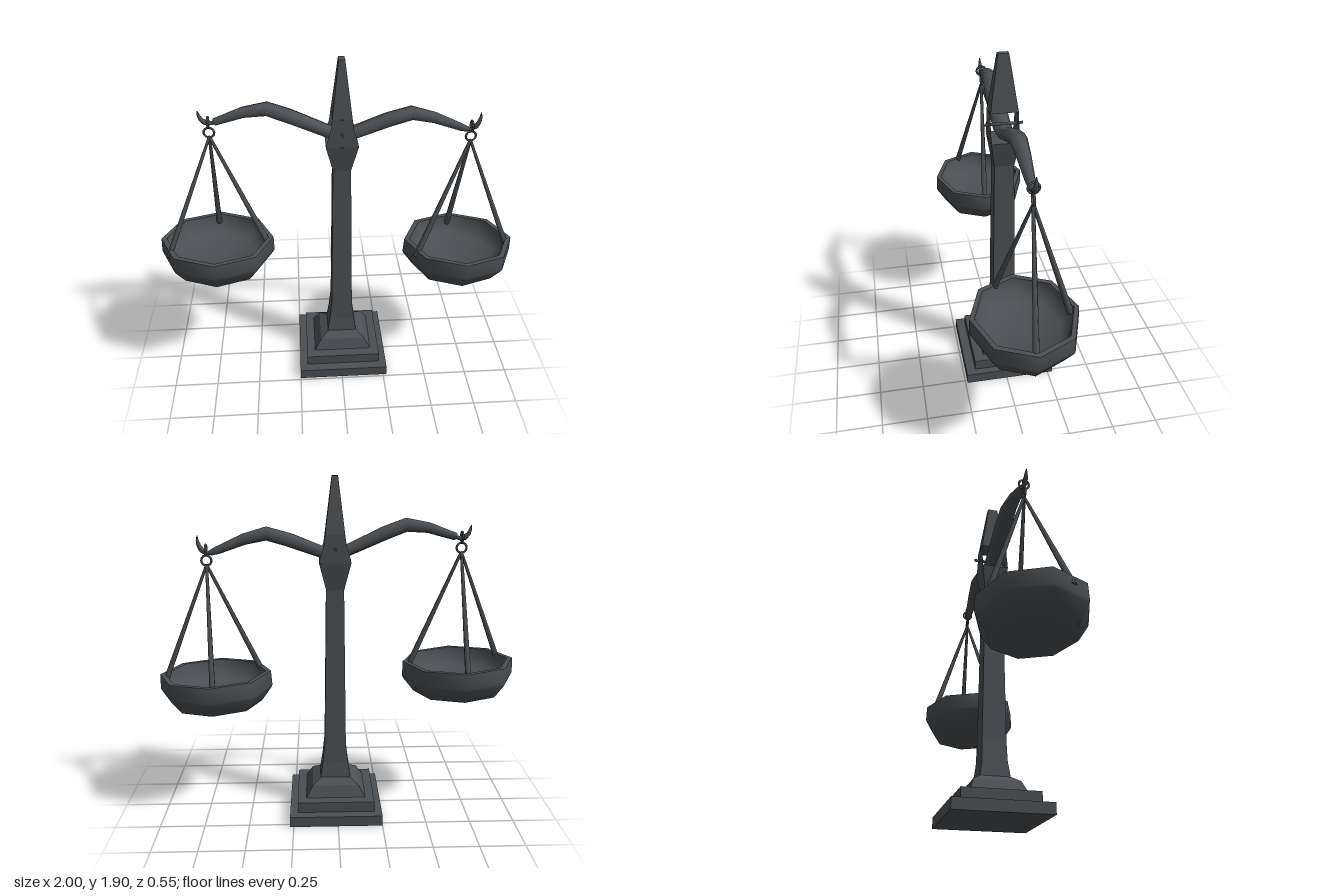
import * as THREE from 'three';
import { toCreasedNormals } from 'three/addons/utils/BufferGeometryUtils.js';

const iron = new THREE.MeshStandardMaterial({ color: 0x4b5054, side: THREE.DoubleSide });
iron.name = 'darkIron';

function add(parent, name, geometry, x = 0, y = 0, z = 0) {
  const mesh = new THREE.Mesh(geometry, iron);
  mesh.name = name;
  mesh.position.set(x, y, z);
  parent.add(mesh);
  return mesh;
}

// Faceted, capped loft through rectangles [y, halfX, halfZ], bottom to top
function loft(sections) {
  const pos = [], idx = [], n = sections.length;
  for (const [y, hx, hz] of sections) pos.push(hx, y, hz, hx, y, -hz, -hx, y, -hz, -hx, y, hz);
  for (let i = 0; i < n - 1; i++) {
    for (let j = 0; j < 4; j++) {
      const a = i * 4 + j, b = i * 4 + (j + 1) % 4;
      idx.push(a, b, b + 4, a, b + 4, a + 4);
    }
  }
  const t = (n - 1) * 4;
  idx.push(0, 2, 1, 0, 3, 2, t, t + 1, t + 2, t, t + 2, t + 3);
  const g = new THREE.BufferGeometry();
  g.setAttribute('position', new THREE.Float32BufferAttribute(pos, 3));
  g.setIndex(idx);
  const flat = g.toNonIndexed();
  flat.computeVertexNormals();
  return flat;
}

// Smooth sweep in the xy plane through points [x, y, radiusY, radiusZ]
function sweep(points, sides = 8) {
  const pos = [], idx = [];
  points.forEach(([x, y, ry, rz], i) => {
    const p = points[Math.max(i - 1, 0)], q = points[Math.min(i + 1, points.length - 1)];
    const dx = q[0] - p[0], dy = q[1] - p[1], l = Math.hypot(dx, dy);
    for (let j = 0; j < sides; j++) {
      const a = (j / sides) * Math.PI * 2, c = Math.cos(a) * ry;
      pos.push(x - (dy / l) * c, y + (dx / l) * c, Math.sin(a) * rz);
    }
  });
  for (let i = 0; i < points.length - 1; i++) {
    for (let j = 0; j < sides; j++) {
      const a = i * sides + j, b = i * sides + (j + 1) % sides;
      idx.push(a, b, a + sides, b, b + sides, a + sides);
    }
  }
  const g = new THREE.BufferGeometry();
  g.setAttribute('position', new THREE.Float32BufferAttribute(pos, 3));
  g.setIndex(idx);
  g.computeVertexNormals();
  return g;
}

// Straight tapered rod between two points
function rod(parent, name, from, to, r0, r1) {
  const dir = to.clone().sub(from);
  const mesh = add(parent, name, new THREE.CylinderGeometry(r1, r0, dir.length(), 6));
  mesh.position.copy(from).addScaledVector(dir, 0.5);
  mesh.quaternion.setFromUnitVectors(new THREE.Vector3(0, 1, 0), dir.normalize());
}

function buildStand() {
  const stand = new THREE.Group();
  stand.name = 'stand';
  stand.position.set(0.01, 0, -0.02);
  add(stand, 'baseSlab', new THREE.BoxGeometry(0.52, 0.06, 0.515), 0, 0.03, 0);
  add(stand, 'baseStep', new THREE.BoxGeometry(0.434, 0.06, 0.408), 0, 0.09, 0);
  add(stand, 'columnFoot', loft([[0.12, 0.168, 0.148], [0.185, 0.13, 0.123], [0.215, 0.085, 0.08]]));
  add(stand, 'column', loft([
    [0.215, 0.085, 0.08], [0.3, 0.073, 0.068], [0.42, 0.06, 0.065],
    [1.31, 0.048, 0.053], [1.457, 0.085, 0.075],
  ]));
  add(stand, 'spire', loft([[1.61, 0.052, 0.073], [1.905, 0.016, 0.028]]));

  // Cheeks in front of and behind the slot the beam passes through
  const cheek = new THREE.Shape([
    [-0.085, 1.457], [0.085, 1.457], [0.083, 1.475], [0.06, 1.55],
    [0.052, 1.61], [-0.052, 1.61], [-0.06, 1.55], [-0.083, 1.475],
  ].map(([x, y]) => new THREE.Vector2(x, y)));
  for (const side of [1, -1]) {
    const m = add(stand, side > 0 ? 'frontCheek' : 'backCheek', new THREE.ShapeGeometry(cheek), 0, 0, 0.074 * side);
    if (side < 0) m.rotation.y = Math.PI;
  }
  add(stand, 'pivotPin', new THREE.CylinderGeometry(0.008, 0.008, 0.2, 8), 0, 1.532, -0.006).rotation.x = Math.PI / 2;
  return stand;
}

function buildBeam() {
  const beam = new THREE.Group();
  beam.name = 'beamAssembly';
  beam.position.z = -0.022;
  add(beam, 'beam', sweep([
    [-0.645, 1.582, 0, 0], [-0.636, 1.586, 0.02, 0.022], [-0.49, 1.634, 0.028, 0.036],
    [-0.37, 1.65, 0.037, 0.045], [-0.257, 1.607, 0.037, 0.049], [-0.064, 1.519, 0.032, 0.05],
    [0.01, 1.5, 0.032, 0.05], [0.085, 1.51, 0.032, 0.05], [0.25, 1.572, 0.037, 0.049],
    [0.374, 1.607, 0.037, 0.045], [0.49, 1.578, 0.03, 0.036], [0.636, 1.519, 0.021, 0.024],
    [0.675, 1.505, 0.014, 0.016], [0.685, 1.502, 0, 0],
  ]));
  add(beam, 'rightHook', sweep([
    [-0.62, 1.59, 0.01, 0.01], [-0.655, 1.579, 0.011, 0.011], [-0.685, 1.583, 0.015, 0.015],
    [-0.704, 1.602, 0.012, 0.012], [-0.713, 1.625, 0.008, 0.008], [-0.717, 1.648, 0.002, 0.002],
  ], 6));
  add(beam, 'leftHook', sweep([
    [0.66, 1.51, 0.01, 0.01], [0.69, 1.503, 0.011, 0.011], [0.716, 1.52, 0.015, 0.015],
    [0.731, 1.545, 0.012, 0.012], [0.737, 1.572, 0.008, 0.008], [0.737, 1.598, 0.002, 0.002],
  ], 6));
  return beam;
}

// Octagonal dish profile: outside from the bottom up, then over the rim and in
const dishProfile = [
  [0, -0.212], [0.1, -0.209], [0.25, -0.178], [0.308, -0.1], [0.315, -0.085], [0.311, 0],
  [0.282, 0], [0.268, -0.06], [0.22, -0.1], [0, -0.125],
].map(([r, y]) => new THREE.Vector2(r, y));

function buildPan(name, x, rimY, ringX, ringY) {
  const pan = new THREE.Group();
  pan.name = name;
  const dish = add(pan, 'dish', toCreasedNormals(new THREE.LatheGeometry(dishProfile, 8), 0.95), x, rimY, 0);
  dish.scale.z = 0.88;
  dish.rotation.z = -0.025;

  // Linked rings at the beam end
  const ring = new THREE.TorusGeometry(0.027, 0.006, 6, 14);
  add(pan, 'hookRing', ring, ringX, ringY + 0.058, -0.022).rotation.y = Math.PI / 2;
  add(pan, 'hangerRing', ring, ringX, ringY, -0.022);

  // Three hanger rods
  const top = new THREE.Vector3(ringX, ringY - 0.022, -0.022);
  for (const [dx, dz] of [[-0.258, 0.11], [-0.014, -0.235], [0.284, 0.01]]) {
    rod(pan, 'hangerRod', new THREE.Vector3(x + dx, rimY - 0.045 - dx * 0.025, dz), top, 0.017, 0.008);
  }
  return pan;
}

export function createModel() {
  const model = new THREE.Group();
  model.name = 'balanceScale';
  model.add(
    buildStand(),
    buildBeam(),
    buildPan('rightPan', -0.685, 0.891, -0.67, 1.527),
    buildPan('leftPan', 0.682, 0.828, 0.695, 1.465),
  );
  return model;
}
